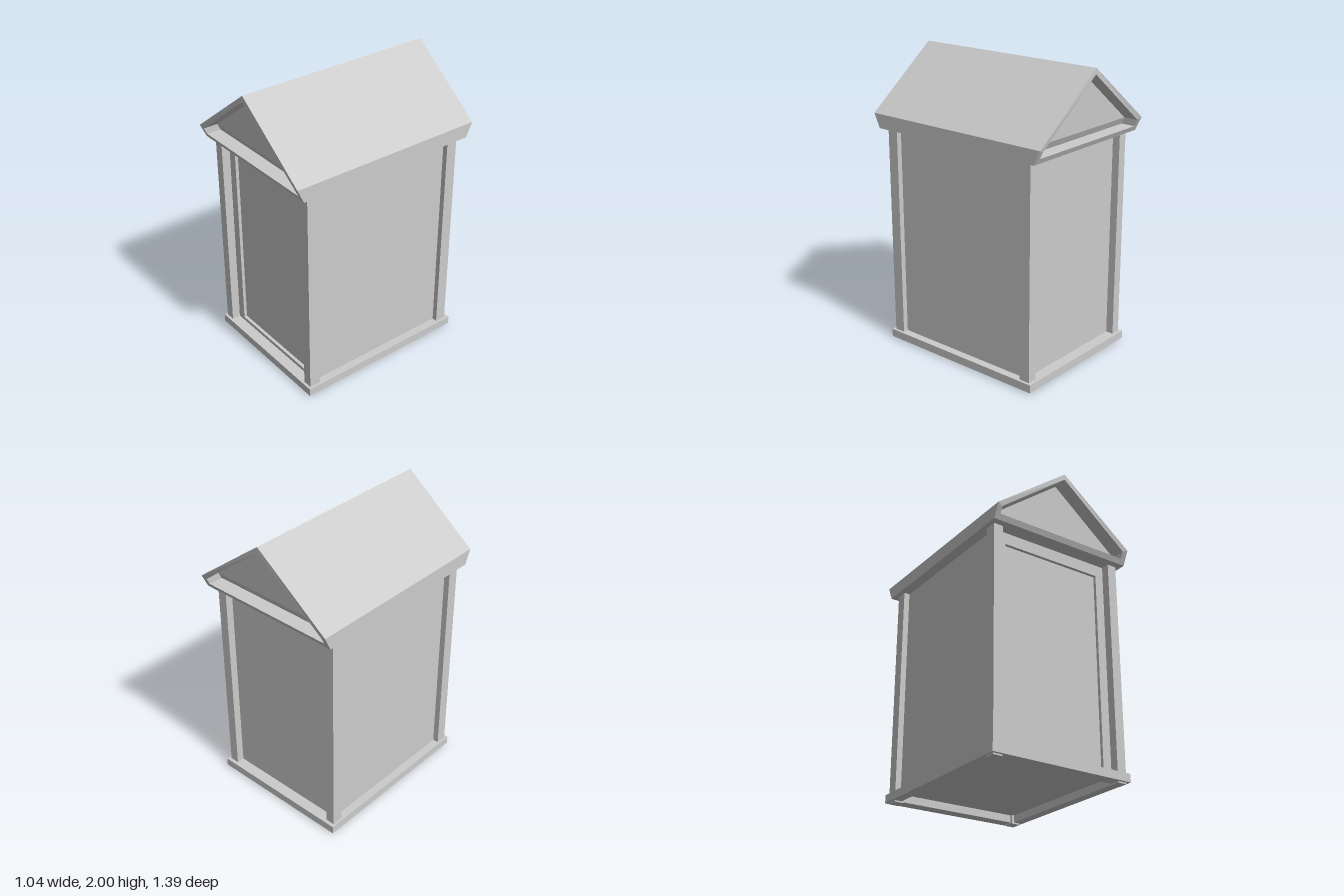
import * as THREE from 'three';

const material = new THREE.MeshStandardMaterial({ color: 0xcccccc, flatShading: true });

function add(parent, name, geometry, x = 0, y = 0, z = 0) {
  const mesh = new THREE.Mesh(geometry, material);
  mesh.name = name;
  mesh.position.set(x, y, z);
  parent.add(mesh);
  return mesh;
}

// Rectangle with a rectangular opening, extruded along +z
function frameGeometry([x0, y0, x1, y1], [a0, b0, a1, b1], depth) {
  const rect = (path, l, b, r, t) => path.moveTo(l, b).lineTo(r, b).lineTo(r, t).lineTo(l, t).closePath();
  const shape = rect(new THREE.Shape(), x0, y0, x1, y1);
  shape.holes.push(rect(new THREE.Path(), a0, b0, a1, b1));
  return new THREE.ExtrudeGeometry(shape, { depth, bevelEnabled: false });
}

// Gabled roof: pentagon loops joined front to back, with a recessed gable at each end
function roofGeometry() {
  const section = (half, low, eave, top) => [[-half, low], [half, low], [half, eave], [0, top], [-half, eave]];
  const outer = section(0.52, 1.505, 1.6, 2);
  const inner = section(0.485, 1.54, 1.585, 1.96);
  // the end faces lean outwards below the eaves, then rise almost upright
  const reach = y => (y < 1.6
    ? THREE.MathUtils.mapLinear(y, 1.505, 1.6, 0.645, 0.69)
    : THREE.MathUtils.mapLinear(y, 1.6, 2, 0.69, 0.695));
  const loop = (pts, side, inset) => pts.map(([x, y]) => [x, y, side * (reach(y) - inset)]);
  const loops = [
    loop(inner, 1, 0.1), loop(inner, 1, 0), loop(outer, 1, 0),
    loop(outer, -1, 0), loop(inner, -1, 0), loop(inner, -1, 0.1),
  ];
  const pos = [];
  const tri = (a, b, c) => pos.push(...a, ...b, ...c);
  for (let k = 0; k < loops.length - 1; k++) {
    for (let i = 0; i < 5; i++) {
      const j = (i + 1) % 5;
      const [p, q] = [loops[k], loops[k + 1]];
      tri(p[i], q[i], q[j]);
      tri(p[i], q[j], p[j]);
    }
  }
  // gable panels
  for (const [a, b, c] of [[0, 1, 2], [0, 2, 4], [4, 2, 3]]) {
    tri(loops[0][a], loops[0][b], loops[0][c]);
    tri(loops[5][c], loops[5][b], loops[5][a]);
  }
  const geometry = new THREE.BufferGeometry();
  geometry.setAttribute('position', new THREE.Float32BufferAttribute(pos, 3));
  geometry.computeVertexNormals();
  return geometry;
}

export function createModel() {
  const group = new THREE.Group();
  group.name = 'gabledBooth';

  // Base ring, open underneath
  const base = add(group, 'baseFrame',
    frameGeometry([-0.505, -0.617, 0.505, 0.617], [-0.44, -0.53, 0.44, 0.53], 0.055), 0, 0.01, 0);
  base.rotation.x = -Math.PI / 2;

  // Side walls, back wall and floor
  add(group, 'cabinBody', new THREE.BoxGeometry(0.9, 1.46, 1.055), 0, 0.79, -0.0125);

  // Front wall with the door set back in its opening
  add(group, 'doorSurround',
    frameGeometry([-0.45, 0.06, 0.45, 1.52], [-0.365, 0.09, 0.36, 1.425], 0.025), 0, 0, 0.515);
  add(group, 'doorPanel', new THREE.BoxGeometry(0.725, 1.335, 0.02), -0.0025, 0.7575, 0.508);

  // Corner posts, whose feet reach just below the base
  for (const sx of [-1, 1]) {
    for (const sz of [-1, 1]) {
      add(group, 'cornerPost', new THREE.BoxGeometry(0.065, 1.52, 0.077),
        sx * 0.4555 - 0.002, 0.76, sz * 0.557 + 0.003);
    }
  }

  add(group, 'roof', roofGeometry());
  return group;
}
